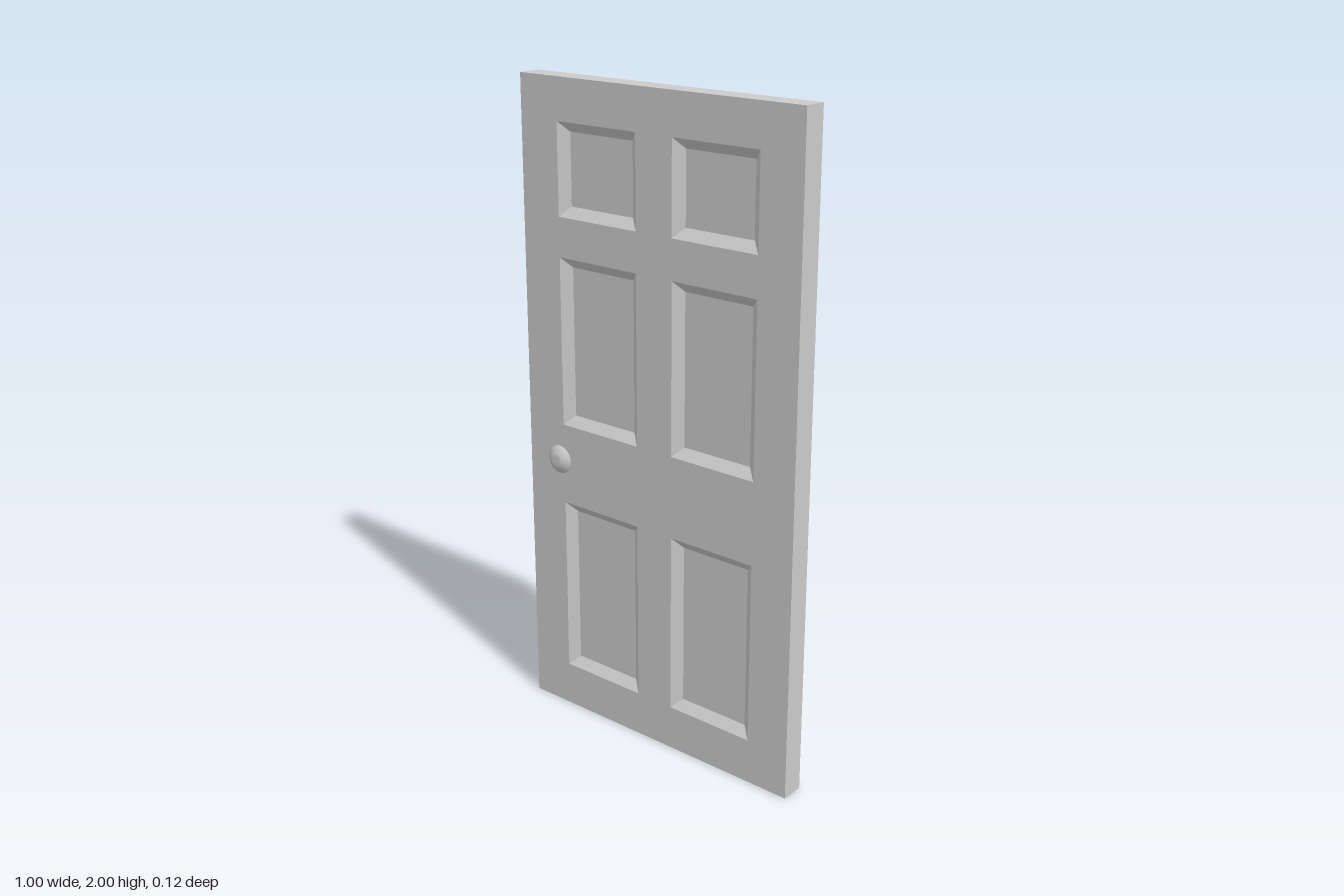
import * as THREE from 'three';

const W = 1, H = 2, T = 0.036;       // door width, height, half thickness
const BEVEL = 0.03, DEPTH = 0.024;   // panel moulding width and recess depth
const COLUMNS = [[-0.36, -0.065], [0.065, 0.36]];
const ROWS = [[0.14, 0.705], [0.96, 1.48], [1.6, 1.875]];

const material = new THREE.MeshStandardMaterial({ color: 0xcccccc });

function add(parent, name, geometry) {
  const mesh = new THREE.Mesh(geometry, material);
  mesh.name = name;
  parent.add(mesh);
  return mesh;
}

// Corners of a rectangle, counter-clockwise seen from +z
const rect = (x0, x1, y0, y1) => [[x0, y0], [x1, y0], [x1, y1], [x0, y1]];
const toPoints = (corners) => corners.map(([x, y]) => new THREE.Vector2(x, y));

// Sunken panel: four sloping sides and a flat floor
function recessGeometry(x0, x1, y0, y1) {
  const outer = rect(x0, x1, y0, y1).map((p) => [...p, T]);
  const inner = rect(x0 + BEVEL, x1 - BEVEL, y0 + BEVEL, y1 - BEVEL).map((p) => [...p, T - DEPTH]);
  const positions = [];
  const quad = (a, b, c, d) => positions.push(...a, ...b, ...c, ...a, ...c, ...d);
  for (let i = 0; i < 4; i++) {
    const j = (i + 1) % 4;
    quad(outer[i], outer[j], inner[j], inner[i]);
  }
  quad(...inner);
  const geometry = new THREE.BufferGeometry();
  geometry.setAttribute('position', new THREE.Float32BufferAttribute(positions, 3));
  geometry.computeVertexNormals();
  return geometry;
}

// One side of the door: flat frame with six sunken panels
function doorSide(name) {
  const side = new THREE.Group();
  side.name = name;
  const shape = new THREE.Shape(toPoints(rect(-W / 2, W / 2, 0, H)));
  for (const [x0, x1] of COLUMNS) {
    for (const [y0, y1] of ROWS) {
      shape.holes.push(new THREE.Path(toPoints(rect(x0, x1, y0, y1)).reverse()));
      add(side, 'sunkenPanel', recessGeometry(x0, x1, y0, y1));
    }
  }
  add(side, 'frame', new THREE.ShapeGeometry(shape).translate(0, 0, T));
  return side;
}

// Round knob, turned about its axis and pointing along z
function knobGeometry() {
  const profile = [
    [0.041, 0], [0.045, 0.004], [0.043, 0.007], [0.034, 0.014], [0.022, 0.021], [0.015, 0.022], [0, 0.022],
  ].map(([r, y]) => new THREE.Vector2(r, y));
  return new THREE.LatheGeometry(profile, 24).rotateX(Math.PI / 2);
}

export function createModel() {
  const door = new THREE.Group();
  door.name = 'panelDoor';

  // Front and back sides
  door.add(doorSide('frontSide'));
  const back = doorSide('backSide');
  back.rotation.y = Math.PI;
  door.add(back);

  // Outer edges of the slab
  for (const s of [-1, 1]) {
    add(door, s > 0 ? 'leftEdge' : 'rightEdge',
      new THREE.PlaneGeometry(2 * T, H).rotateY(s * Math.PI / 2).translate(s * W / 2, H / 2, 0));
    add(door, s > 0 ? 'topEdge' : 'bottomEdge',
      new THREE.PlaneGeometry(W, 2 * T).rotateX(-s * Math.PI / 2).translate(0, s > 0 ? H : 0, 0));

    // Knob on each side
    const knob = add(door, s > 0 ? 'frontKnob' : 'backKnob', knobGeometry());
    knob.position.set(-0.375, 0.845, s * T);
    if (s < 0) knob.rotation.y = Math.PI;
  }
  return door;
}
